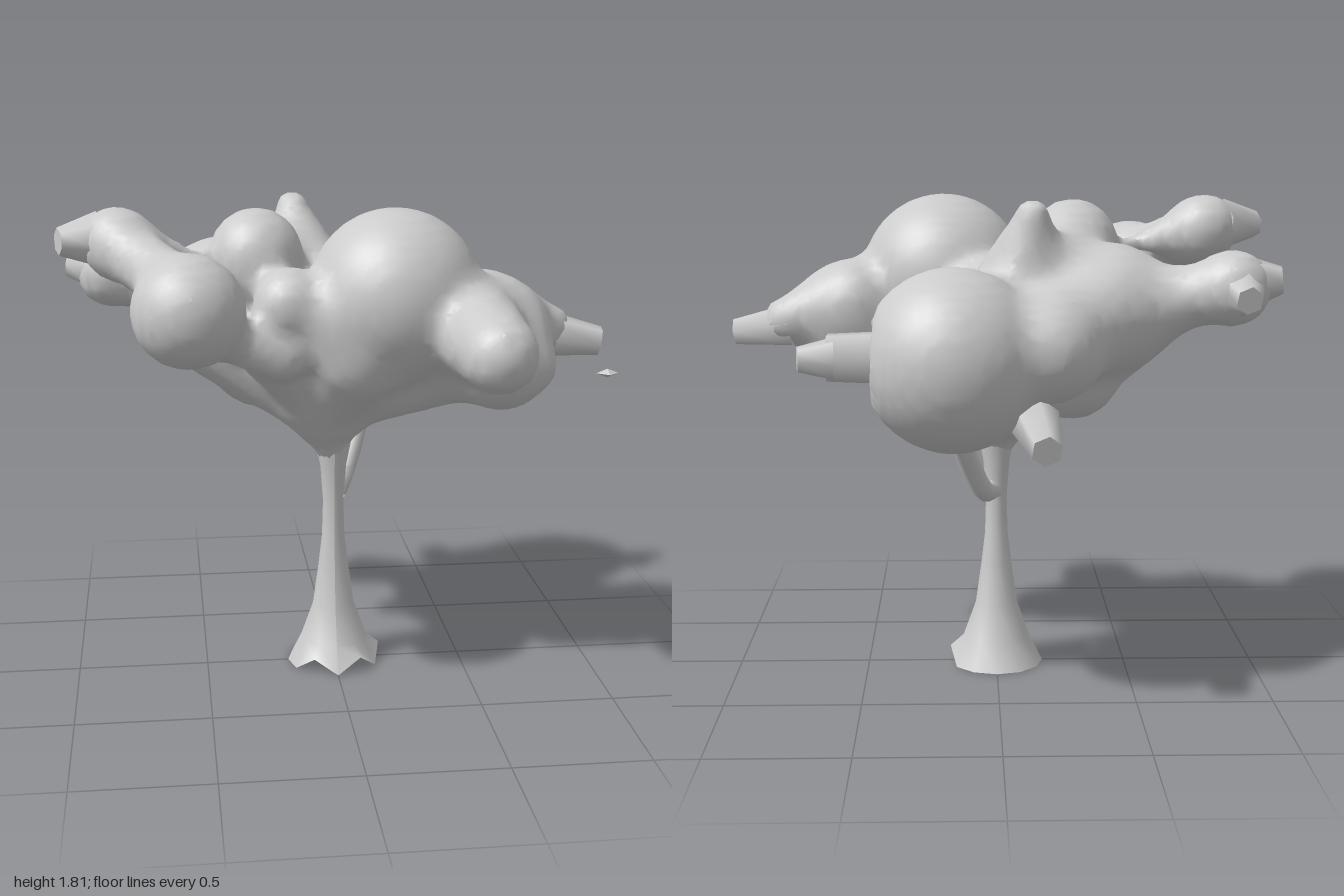
import * as THREE from 'three';

const material = new THREE.MeshStandardMaterial({ color: 0xcccccc, side: THREE.DoubleSide });

// Foliage clumps: centre x, y, z, radius
const CLUMPS = [
  [0.2, 1.5, 0.22, 0.315],    // front crown
  [0.16, 1.26, -0.52, 0.325], // large back crown
  [0.56, 1.33, 0.18, 0.23],   // left-hand crown
  [0.58, 1.27, 0.3, 0.185],   // left-hand underside
  [-0.4, 1.41, -0.25, 0.24],  // right-hand crown
  [-0.27, 1.19, -0.2, 0.19],  // right-hand underside
  [-0.29, 1.63, 0.04, 0.17],  // top knob
  [-0.19, 1.49, 0.29, 0.13],  // front knob
  [-0.02, 1.42, 0.28, 0.16],  // front fill
  [-0.04, 1.34, -0.1, 0.26],  // core
  [0, 1.09, -0.06, 0.17],     // underside
  [-0.17, 1.3, -0.54, 0.19],  // back shoulder
  [-0.55, 1.5, 0.46, 0.2],    // detached ball
  [-0.8, 1.69, 0.08, 0.125],  // upper side tuft
  [-0.83, 1.5, -0.4, 0.135],  // lower side tuft
];
// Tapered limbs of foliage: start, start radius, end, end radius
const LIMBS = [
  [0.46, 1.4, 0.3, 0.18, 0.48, 1.38, 0.72, 0.135],
  [-0.06, 1.04, 0, 0.12, -0.4, 1.32, -0.1, 0.2],
  [0, 0.86, 0, 0.06, -0.06, 1.06, 0.02, 0.13],
  [0.1, 1.06, 0.02, 0.1, 0.42, 1.27, 0.16, 0.19],
  [0, 1.05, 0.06, 0.11, 0.06, 1.3, 0.26, 0.19],
  [-0.08, 1.12, 0.08, 0.12, -0.25, 1.32, 0.22, 0.13],
  [0, 1.02, 0.02, 0.1, 0.02, 1.03, -0.15, 0.11],
  [0.02, 1.05, -0.15, 0.12, 0.05, 1.2, -0.25, 0.18],
  [-0.29, 1.57, 0.04, 0.15, -0.22, 1.52, -0.25, 0.17],
  [-0.42, 1.42, -0.3, 0.2, -0.22, 1.34, -0.45, 0.18],
  [-0.1, 1.55, -0.3, 0.17, -0.12, 1.75, -0.37, 0.065],
  [-0.8, 1.5, -0.4, 0.09, -0.55, 1.43, -0.32, 0.14],
  [-0.76, 1.66, 0.12, 0.11, -0.6, 1.58, 0.35, 0.1],
  [-0.75, 1.67, 0.08, 0.1, -0.48, 1.62, 0.08, 0.015],
  [-0.5, 1.42, 0.38, 0.08, -0.22, 1.3, 0.34, 0.08],
  [-0.58, 1.46, 0.24, 0.06, -0.35, 1.34, 0.12, 0.07],
  [0.55, 1.41, 0.09, 0.15, 0.8, 1.34, 0.08, 0.09],
  [0.6, 1.26, 0.3, 0.13, 0.7, 1.25, 0.36, 0.06],
];

const smoothMin = (a, b, k = 0.06) => {
  const h = Math.max(k - Math.abs(a - b), 0) / k;
  return Math.min(a, b) - h * h * k * 0.25;
};

// Distance to the blended foliage
function foliage(x, y, z) {
  let d = 9;
  for (const [cx, cy, cz, r] of CLUMPS) d = smoothMin(d, Math.hypot(x - cx, y - cy, z - cz) - r);
  for (const [ax, ay, az, ra, bx, by, bz, rb] of LIMBS) {
    const ux = bx - ax, uy = by - ay, uz = bz - az;
    const t = THREE.MathUtils.clamp(
      ((x - ax) * ux + (y - ay) * uy + (z - az) * uz) / (ux * ux + uy * uy + uz * uz), 0, 1);
    d = smoothMin(d, Math.hypot(x - ax - ux * t, y - ay - uy * t, z - az - uz * t) - ra - (rb - ra) * t);
  }
  // Shallow ring hollow around the shoot on the back crown
  const ring = Math.hypot(Math.hypot(y - 1.27, z + 0.5) - 0.11, x - 0.47) - 0.05;
  return Math.max(d, -ring);
}

// Wraps a smooth skin around a distance field, one vertex per crossed cell
function skin(field, min, max, step) {
  const n = max.map((m, i) => Math.ceil((m - min[i]) / step) + 1);
  const stride = [1, n[0], n[0] * n[1]];
  const values = new Float32Array(n[0] * n[1] * n[2]);
  const each = (inset, fn) => {
    for (let k = 0; k < n[2] - inset; k++)
      for (let j = 0; j < n[1] - inset; j++)
        for (let i = 0; i < n[0] - inset; i++) fn([i, j, k], i + j * stride[1] + k * stride[2]);
  };
  each(0, (c, id) => { values[id] = field(...c.map((v, a) => min[a] + v * step)); });

  const positions = [], index = [], cellVertex = new Map();
  each(1, (c, id) => {
    const sum = [0, 0, 0];
    let count = 0;
    for (let corner = 0; corner < 8; corner++) {
      const bits = [corner & 1, (corner >> 1) & 1, corner >> 2];
      for (let a = 0; a < 3; a++) {
        if (bits[a]) continue;
        const p = id + bits[0] + bits[1] * stride[1] + bits[2] * stride[2];
        const f0 = values[p], f1 = values[p + stride[a]];
        if ((f0 < 0) === (f1 < 0)) continue;
        for (let b = 0; b < 3; b++) sum[b] += bits[b] + (a === b ? f0 / (f0 - f1) : 0);
        count++;
      }
    }
    if (!count) return;
    cellVertex.set(id, positions.length / 3);
    positions.push(...sum.map((s, a) => min[a] + (c[a] + s / count) * step));
  });
  each(1, (c, id) => {
    for (let a = 0; a < 3; a++) {
      const inside = values[id] < 0;
      if (inside === (values[id + stride[a]] < 0)) continue;
      const u = stride[(a + 1) % 3], v = stride[(a + 2) % 3];
      const q = [id - u - v, id - v, id, id - u].map((cell) => cellVertex.get(cell));
      if (!inside) q.reverse();
      index.push(q[0], q[1], q[2], q[0], q[2], q[3]);
    }
  });
  const geometry = new THREE.BufferGeometry();
  geometry.setAttribute('position', new THREE.Float32BufferAttribute(positions, 3));
  geometry.setIndex(index);
  geometry.computeVertexNormals();
  return geometry;
}

export function createModel() {
  const tree = new THREE.Group();
  tree.name = 'tree';
  const add = (name, geometry) => {
    const mesh = new THREE.Mesh(geometry, material);
    mesh.name = name;
    tree.add(mesh);
    return mesh;
  };

  add('canopy', skin(foliage, [-1.1, 0.7, -1], [1.1, 1.95, 1], 0.035));

  // Trunk flaring to a ragged, open foot
  const profile = [[0.18, 0], [0.13, 0.1], [0.08, 0.24], [0.058, 0.4], [0.044, 0.52], [0.04, 0.66], [0.05, 0.8], [0.08, 0.95]];
  const trunk = new THREE.LatheGeometry(profile.map(([r, y]) => new THREE.Vector2(r, y)), 12);
  const p = trunk.attributes.position;
  for (let i = 0; i < p.count; i++) {
    if (p.getY(i) > 0.01) continue;
    const angle = Math.atan2(p.getZ(i), p.getX(i));
    p.setY(i, (0.5 + 0.5 * Math.cos(angle * 6)) * (angle > -0.3 && angle < 2.2 ? 0.06 : 0));
  }
  trunk.computeVertexNormals();
  add('trunk', trunk);

  // Side branch behind the trunk
  const path = new THREE.CatmullRomCurve3([
    new THREE.Vector3(0.01, 0.69, -0.01), new THREE.Vector3(0.05, 0.71, -0.13),
    new THREE.Vector3(0.1, 0.82, -0.21), new THREE.Vector3(0.16, 1.0, -0.32)]);
  add('sideBranch', new THREE.TubeGeometry(path, 8, 0.04, 6));

  // Stubby shoots: start, end, start radius, end radius
  const shoots = [
    [[0.78, 1.32, 0.08], [1, 1.29, 0.11], 0.09, 0.055],
    [[0.38, 1.27, -0.5], [0.6, 1.27, -0.5], 0.1, 0.09],
    [[0.58, 1.27, -0.53], [0.7, 1.27, -0.55], 0.075, 0.045],
    [[-0.86, 1.7, 0.08], [-1, 1.7, 0.13], 0.1, 0.05],
    [[-0.88, 1.52, -0.4], [-1, 1.53, -0.42], 0.1, 0.05],
    [[-0.84, 1.5, -0.42], [-0.86, 1.47, -0.57], 0.11, 0.05],
    [[-0.12, 1.06, -0.6], [-0.15, 1, -0.85], 0.09, 0.055],
  ];
  for (const [a, b, r0, r1] of shoots) {
    const start = new THREE.Vector3(...a), dir = new THREE.Vector3(...b).sub(start);
    const shoot = add('shoot', new THREE.CylinderGeometry(r1, r0, dir.length(), 6));
    shoot.position.copy(start).addScaledVector(dir, 0.5);
    shoot.quaternion.setFromUnitVectors(new THREE.Vector3(0, 1, 0), dir.normalize());
  }

  // Small loose leaf beside the crown
  const leaf = add('looseLeaf', new THREE.OctahedronGeometry(0.04));
  leaf.scale.set(1, 0.4, 0.9);
  leaf.position.set(0.94, 1.24, 0.43);
  return tree;
}
